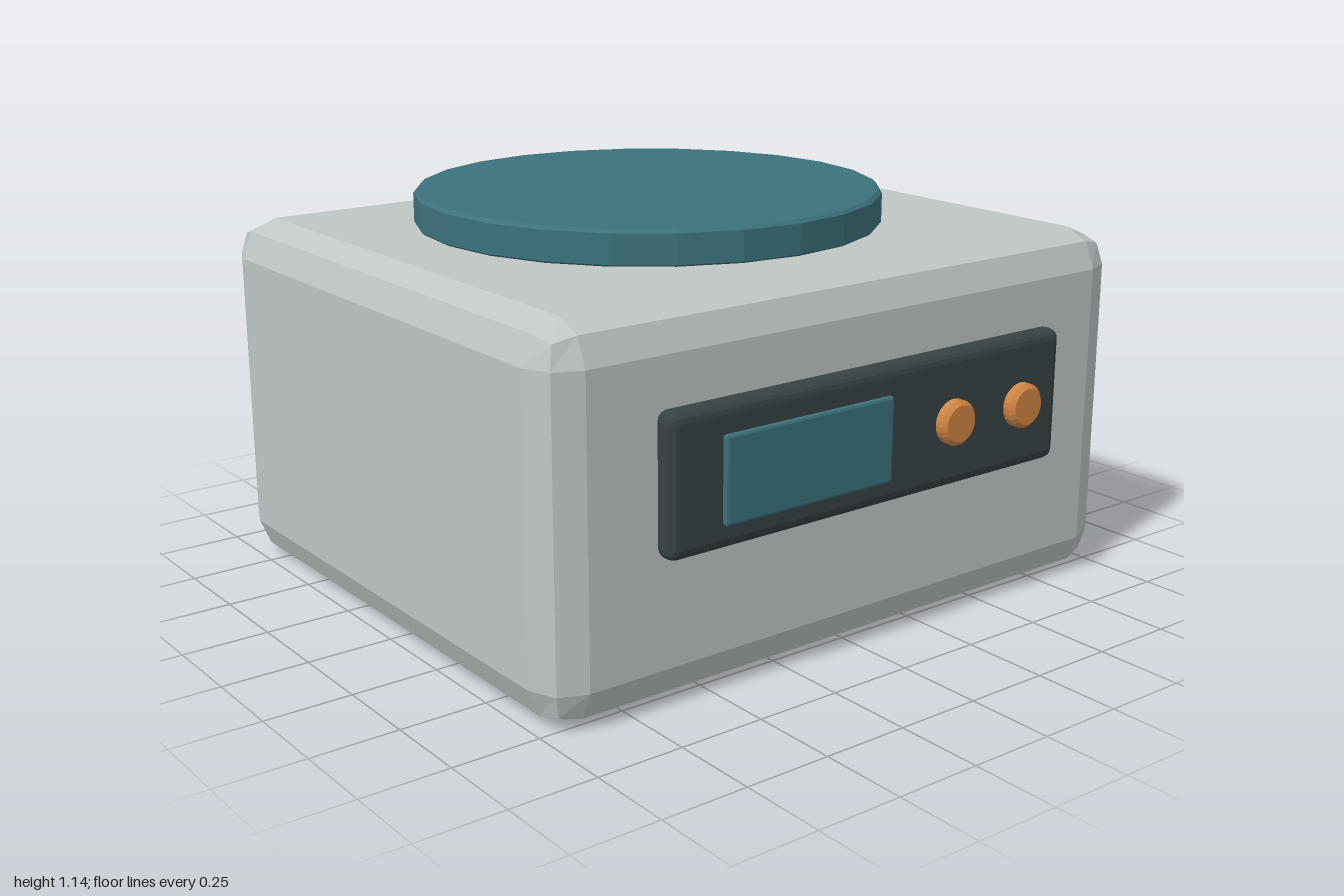
import * as THREE from 'three';
import { RoundedBoxGeometry } from 'three/addons/geometries/RoundedBoxGeometry.js';

const material = (name, color) => {
  const m = new THREE.MeshStandardMaterial({ color, flatShading: true });
  m.name = name;
  return m;
};

export function createModel() {
  const group = new THREE.Group();
  group.name = 'kitchenScale';
  const casing = material('pale grey casing', 0xbfc6c3);
  const dark = material('dark panel', 0x384344);
  const teal = material('teal', 0x3c727c);
  const orange = material('orange', 0xd08543);

  const add = (name, geometry, mat, x, y, z) => {
    const mesh = new THREE.Mesh(geometry, mat);
    mesh.name = name;
    mesh.position.set(x, y, z);
    group.add(mesh);
    return mesh;
  };

  // Disc with bevelled rims, axis along y, resting on y = 0
  const disc = (radius, height, bevel, sides) => new THREE.LatheGeometry([
    [0, 0], [radius - bevel, 0], [radius, bevel],
    [radius, height - bevel], [radius - bevel, height], [0, height],
  ].map(([x, y]) => new THREE.Vector2(x, y)), sides);

  // Casing with two-step chamfered edges
  add('body', new RoundedBoxGeometry(2, 1.045, 1.735, 1, 0.11), casing, 0, 0.5225, -0.0555);

  // Round weighing plate
  add('weighingPlate', disc(0.692, 0.105, 0.01, 24), teal, 0, 1.04, -0.145);

  // Control panel and display
  add('controlPanel', new RoundedBoxGeometry(1.384, 0.385, 0.072, 2, 0.03), dark, 0, 0.612, 0.842);
  add('display', new RoundedBoxGeometry(0.562, 0.238, 0.02, 1, 0.008), teal, -0.262, 0.614, 0.9);

  // Two push buttons
  for (const x of [0.258, 0.52]) {
    add('button', disc(0.064, 0.045, 0.012, 24), orange, x, 0.614, 0.877).rotation.x = Math.PI / 2;
  }
  return group;
}
